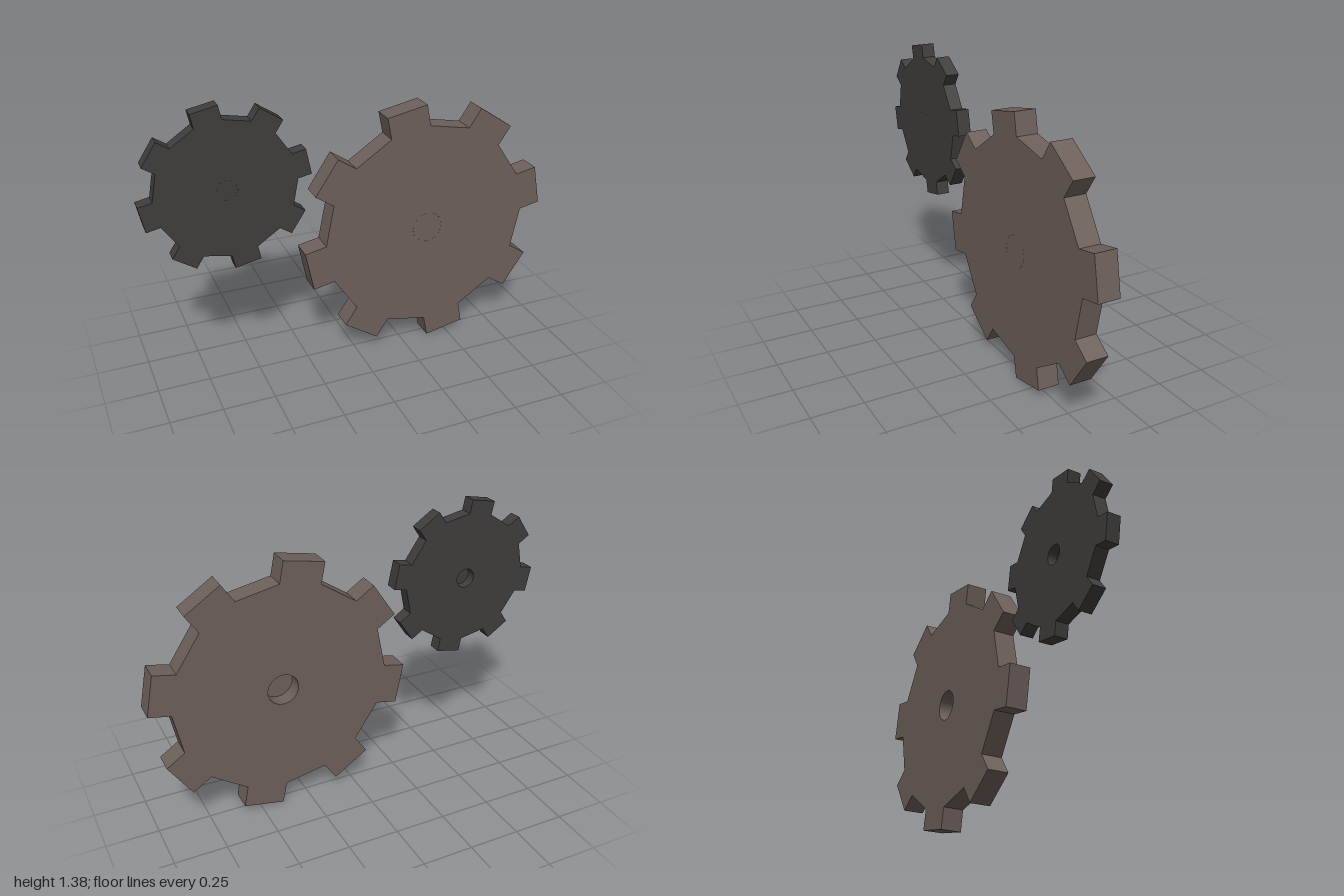
import * as THREE from 'three';

const TEETH = 8;
const SIDES = 24;

// Flat gear with square teeth; the axle hole is open at the back only.
// Proportions are those of the large gear, resized by scale.
function makeGear(name, color, x, y, scale) {
  const tip = 0.624 * scale, root = 0.517 * scale, half = 0.101 * scale;
  const depth = 0.106 * scale, hole = 0.076 * scale, web = 0.031 * scale;
  const material = new THREE.MeshStandardMaterial({ color, flatShading: true });
  const gear = new THREE.Group();
  gear.name = name;

  // Outline: each tooth has parallel sides, joined by straight gaps
  const points = [];
  for (let i = 0; i < TEETH; i++) {
    const a = THREE.MathUtils.degToRad(11.3 + (i * 360) / TEETH);
    for (const [r, s] of [[root, -half], [tip, -half], [tip, half], [root, half]]) {
      points.push(new THREE.Vector2(
        r * Math.cos(a) - s * Math.sin(a),
        r * Math.sin(a) + s * Math.cos(a)));
    }
  }
  const outline = new THREE.Shape(points);
  outline.holes.push(new THREE.Path().absarc(0, 0, hole, 0, Math.PI * 2, true));
  const bodyGeometry = new THREE.ExtrudeGeometry(outline, {
    depth, bevelEnabled: false, curveSegments: SIDES,
  });
  bodyGeometry.translate(0, 0, -depth / 2);
  const body = new THREE.Mesh(bodyGeometry, material);
  body.name = 'toothedDisc';

  // Flush plug closing the hole at the front
  const plugGeometry = new THREE.CylinderGeometry(hole, hole, web, SIDES);
  plugGeometry.rotateX(Math.PI / 2);
  const plug = new THREE.Mesh(plugGeometry, material);
  plug.name = 'axleHoleFloor';
  plug.position.z = depth / 2 - web / 2;

  gear.add(body, plug);
  gear.position.set(x, y, 0);
  return gear;
}

export function createModel() {
  const model = new THREE.Group();
  model.name = 'gearPair';
  model.add(
    makeGear('largeGear', 0x6d605b, 0.367, 0.637, 1),
    makeGear('smallGear', 0x403e3c, -0.608, 0.998, 0.62),
  );
  return model;
}
